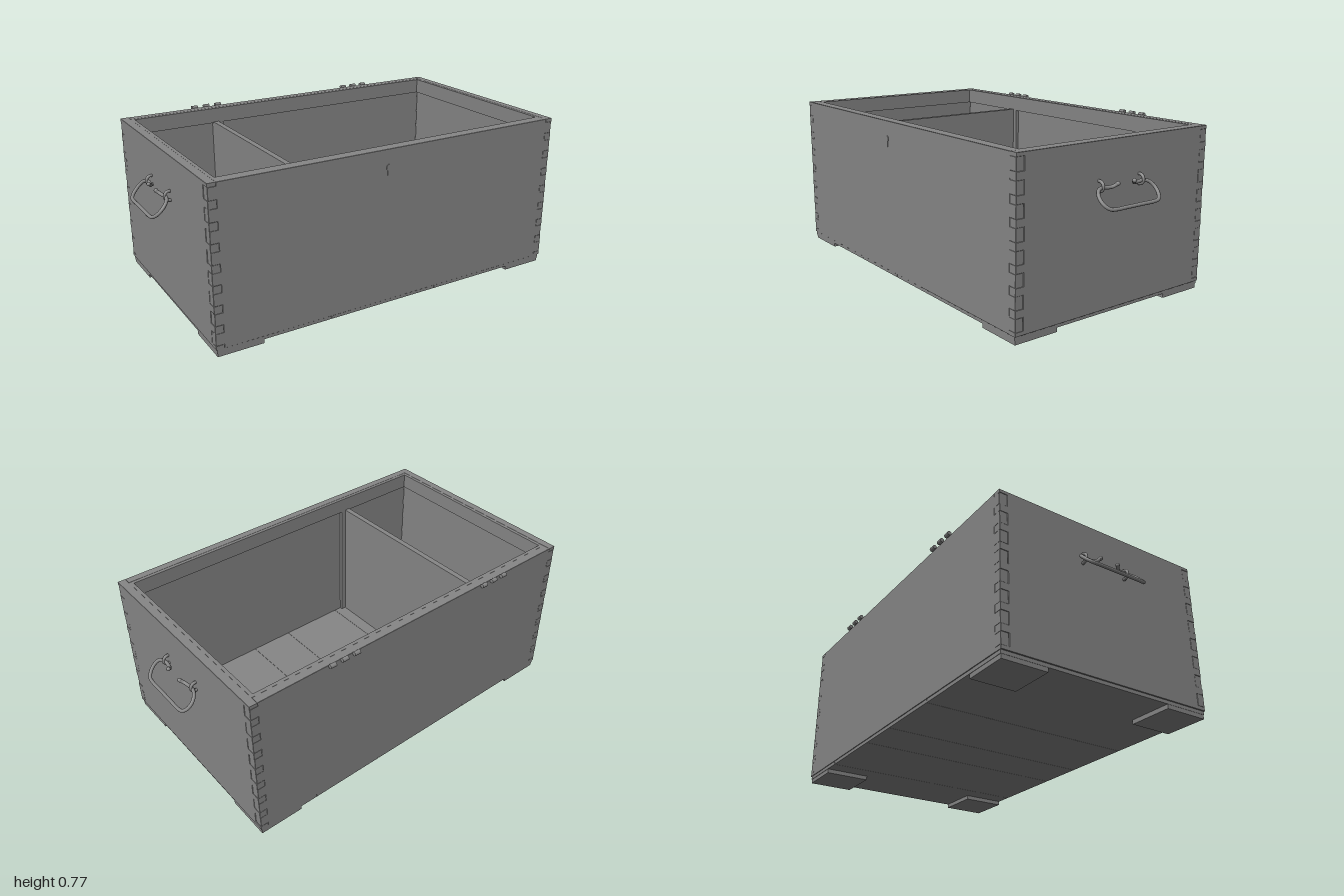
import * as THREE from 'three';

const W = 0.895;            // half width of the box
const Z0 = -0.525, Z1 = 0.545, ZC = 0.01, D = 0.535;
const Y0 = 0.036, TOP = 0.76;
const T = 0.038;            // wall board thickness
const JOINTS = 8, PITCH = (TOP - Y0) / JOINTS;

export function createModel() {
  const model = new THREE.Group();
  const wood = new THREE.MeshStandardMaterial({ color: 0x868686, flatShading: true });
  const metal = new THREE.MeshStandardMaterial({ color: 0x868686 });

  let seed = 7;
  const rand = () => (seed = (seed * 16807) % 2147483647) / 2147483647;

  const add = (name, geometry, material, parent = model) => {
    const mesh = new THREE.Mesh(geometry, material);
    mesh.name = name;
    parent.add(mesh);
    return mesh;
  };
  const block = (name, x0, x1, y0, y1, z0, z1, parent) => {
    const mesh = add(name, new THREE.BoxGeometry(x1 - x0, y1 - y0, z1 - z0), wood, parent);
    mesh.position.set((x0 + x1) / 2, (y0 + y1) / 2, (z0 + z1) / 2);
  };

  // Board with finger joints: reach "inRange" on the joint bands, "offRange" between them
  const jointedBoard = (offRange, inRange, gap) => {
    const right = [[offRange, Y0]];
    for (let k = 0; k < JOINTS; k++) {
      const lo = Y0 + PITCH * (k + 0.2) + gap, hi = Y0 + PITCH * (k + 0.82) - gap;
      const reach = inRange - rand() * 0.002;
      right.push([offRange, lo], [reach, lo], [reach, hi], [offRange, hi]);
    }
    right.push([offRange, TOP]);
    const left = right.map(([x, y]) => [-x, y]).reverse();
    const shape = new THREE.Shape([...right, ...left].map(([x, y]) => new THREE.Vector2(x, y)));
    const b = 0.001;
    return new THREE.ExtrudeGeometry(shape, {
      depth: T - 2 * b, bevelThickness: b, bevelSize: b, bevelOffset: -b, bevelSegments: 1,
    }).translate(0, 0, b);
  };

  // Front and back boards
  add('frontBoard', jointedBoard(W - T, W, 0.0005), wood).position.z = Z1 - T;
  add('backBoard', jointedBoard(W - T, W, 0.0005), wood).position.z = Z0;

  // Keyhole plate on the front
  const keyhole = new THREE.Shape();
  keyhole.moveTo(-0.065, 0.64);
  keyhole.lineTo(-0.051, 0.64);
  keyhole.lineTo(-0.05, 0.665);
  keyhole.absarc(-0.058, 0.677, 0.015, -Math.PI / 3, Math.PI * 4 / 3, false);
  keyhole.lineTo(-0.066, 0.665);
  const plate = new THREE.ExtrudeGeometry(keyhole, { depth: 0.005, bevelEnabled: false, curveSegments: 12 });
  add('keyholePlate', plate, metal).position.z = Z1 - 0.002;

  // Side boards
  for (const s of [1, -1]) {
    const side = add(s > 0 ? 'leftBoard' : 'rightBoard', jointedBoard(D, D - T, 0), wood);
    side.rotation.y = Math.PI / 2;
    side.position.set(s > 0 ? W - T : -W, 0, ZC);
  }

  // Lip around the inside of the rim
  const lip = new THREE.Group();
  lip.name = 'rimLip';
  model.add(lip);
  const L = 0.054, lipLow = 0.685, lipTop = TOP - 0.0005;
  block('lipFront', -W + T, W - T, lipLow, lipTop, Z1 - L, Z1 - T, lip);
  block('lipBack', -W + T, W - T, lipLow, lipTop, Z0 + T, Z0 + L, lip);
  for (const s of [1, -1]) {
    const x = s * (W - (T + L) / 2), h = (L - T) / 2;
    block('lipSide', x - h, x + h, lipLow, lipTop, Z0 + L, Z1 - L, lip);
  }

  // Floor planks
  const seams = [-0.89, -0.345, -0.005, 0.22, 0.59, 0.89];
  for (let i = 0; i < seams.length - 1; i++) {
    block('floorPlank', seams[i] + 0.0007, seams[i + 1] - 0.0007, 0.02, Y0 + 0.001, Z0 + 0.003, Z1 - 0.003);
  }

  // Divider and the cleats that hold it
  block('divider', -0.437, -0.41, Y0, 0.69, Z0 + T, Z1 - T);
  block('dividerCleat', -0.41, -0.385, Y0, 0.685, Z0 + T, Z0 + L);
  block('dividerCleat', -0.41, -0.385, Y0, 0.685, Z1 - L, Z1 - T);

  // Corner feet
  for (const s of [1, -1]) {
    const [a, b] = [s * 0.675, s * 0.888].sort((p, q) => p - q);
    block('foot', a, b, 0, 0.021, 0.325, 0.54);
    block('foot', a, b, 0, 0.021, -0.52, -0.302);
  }

  // Hinge knuckles on the back rim
  for (const cx of [-0.447, 0.437]) {
    for (const dx of [-0.063, 0, 0.063]) {
      const knuckle = add('hingeKnuckle', new THREE.CylinderGeometry(0.01, 0.01, 0.03, 12), metal);
      knuckle.rotation.z = Math.PI / 2;
      knuckle.position.set(cx + dx, TOP, Z0 - 0.011);
    }
  }

  // Carrying handles: a bail with curled ends hanging in two staples
  const half = [
    [0.935, 0.584, 0.047], [0.922, 0.572, 0.06], [0.915, 0.569, 0.085], [0.915, 0.572, 0.115],
    [0.925, 0.566, 0.145], [0.946, 0.544, 0.16], [0.972, 0.517, 0.155], [0.988, 0.502, 0.135],
    [0.992, 0.499, 0.105], [0.992, 0.499, 0.05],
  ];
  for (const s of [1, -1]) {
    const handle = new THREE.Group();
    handle.name = s > 0 ? 'leftHandle' : 'rightHandle';
    model.add(handle);
    const point = (m) => ([x, y, z]) => new THREE.Vector3(s * x, y, ZC + m * z);
    const path = [...half.map(point(1)), ...half.map(point(-1)).reverse()];
    const curve = new THREE.CatmullRomCurve3(path, false, 'centripetal');
    add('bail', new THREE.TubeGeometry(curve, 96, 0.008, 10), metal, handle);
    for (const end of [path[0], path[path.length - 1]]) {
      add('bailTip', new THREE.SphereGeometry(0.0095, 12, 8), metal, handle).position.copy(end);
    }
    for (const m of [1, -1]) {
      const staple = add('staple', new THREE.TorusGeometry(0.021, 0.007, 8, 16, Math.PI), metal, handle);
      staple.rotation.z = -s * Math.PI / 2;
      staple.position.set(s * (W + 0.006), 0.576, ZC + m * 0.115);
      for (const dy of [-0.021, 0.021]) {
        const leg = add('stapleLeg', new THREE.CylinderGeometry(0.007, 0.007, 0.02, 8), metal, handle);
        leg.rotation.z = Math.PI / 2;
        leg.position.set(s * (W - 0.004), 0.576 + dy, ZC + m * 0.115);
      }
    }
  }
  return model;
}
